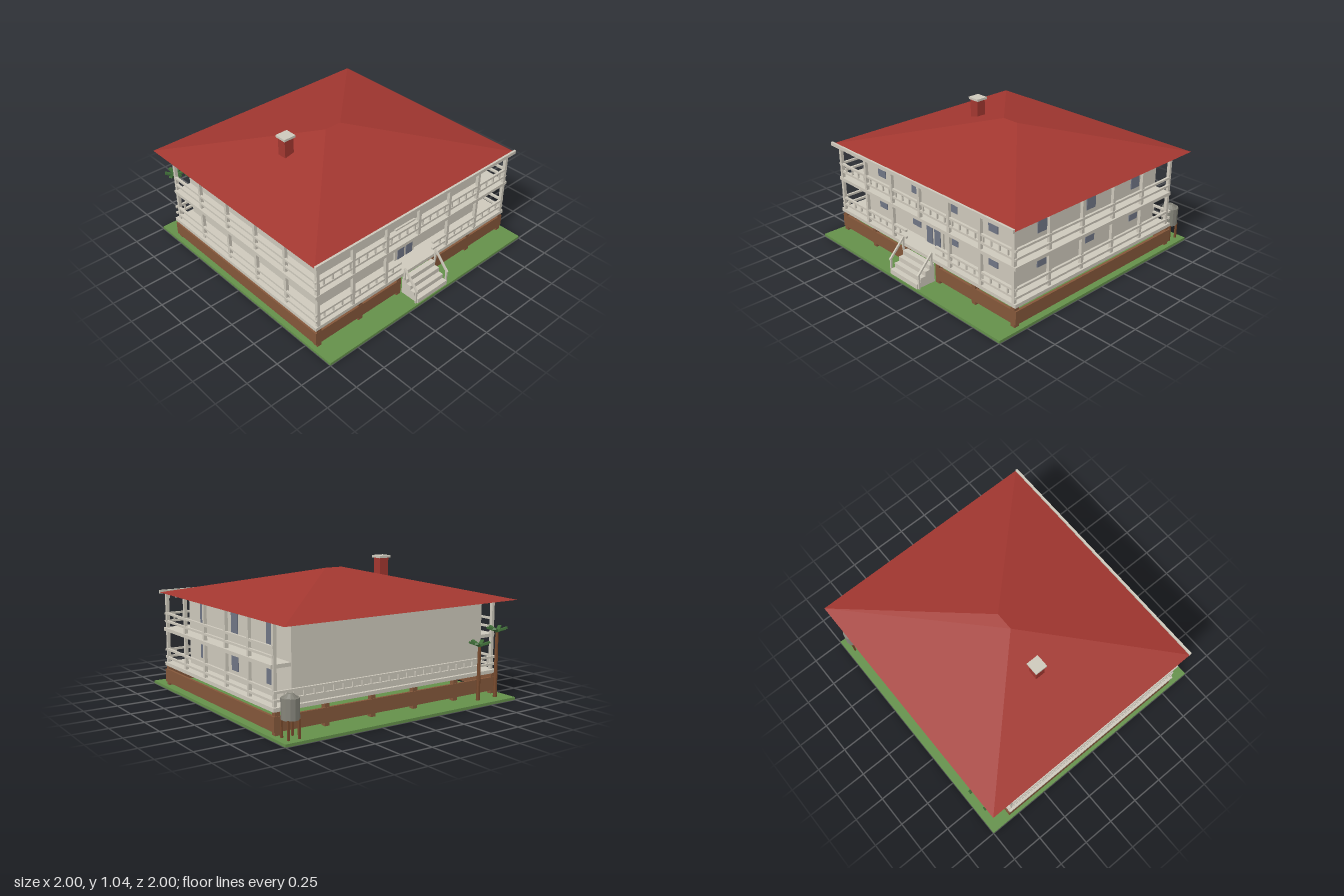
import * as THREE from 'three';

const mat = (name, color) => {
  const m = new THREE.MeshStandardMaterial({ color });
  m.name = name;
  return m;
};

export function createModel() {
  const house = new THREE.Group();
  house.name = 'verandaHouse';
  const cream = mat('cream', 0xcdc8bb);
  const red = mat('roofRed', 0xa23730);
  const green = mat('grass', 0x64904a);
  const brown = mat('timberBrown', 0x84573a);
  const trunkBrown = mat('trunkBrown', 0x774a2d);
  const leaf = mat('palmGreen', 0x3f6c38);
  const glass = mat('glass', 0x6f7585);
  const metal = mat('tankGrey', 0x85847a);

  const group = (name) => {
    const g = new THREE.Group();
    g.name = name;
    house.add(g);
    return g;
  };
  const add = (parent, name, geo, material, x = 0, y = 0, z = 0) => {
    const m = new THREE.Mesh(geo, material);
    m.name = name;
    m.position.set(x, y, z);
    parent.add(m);
    return m;
  };
  // Box given by its limits on each axis
  const box = (parent, name, material, x0, x1, y0, y1, z0, z1) =>
    add(parent, name, new THREE.BoxGeometry(x1 - x0, y1 - y0, z1 - z0), material,
      (x0 + x1) / 2, (y0 + y1) / 2, (z0 + z1) / 2);
  // Upright square post
  const post = (parent, name, material, x, z, w, y0, y1) =>
    box(parent, name, material, x - w / 2, x + w / 2, y0, y1, z - w / 2, z + w / 2);

  box(house, 'lawn', green, -1, 1, 0, 0.02, -1, 1);

  // Underfloor skirt and stumps
  const base = group('base');
  const stumpX = [-0.945, -0.565, -0.185, 0.185, 0.565, 0.945];
  for (const x of stumpX) for (const z of [0.81, -0.8]) post(base, 'stump', brown, x, z, 0.038, 0.02, 0.176);
  for (const s of [-1, 1]) {
    box(base, 'sideSkirt', brown, s * 0.965 - 0.01, s * 0.965 + 0.01, 0.045, 0.147, -0.815, 0.825);
    const [a, b] = s < 0 ? [-0.975, -0.165] : [0.165, 0.975];
    box(base, 'frontSkirt', brown, a, b, 0.045, 0.147, 0.81, 0.83);
  }
  box(base, 'backSkirt', brown, -0.975, 0.975, 0.045, 0.147, -0.825, -0.805);

  // Floors and walls
  box(house, 'lowerDeck', cream, -0.98, 0.975, 0.175, 0.202, -0.82, 0.835);
  box(house, 'walls', cream, -0.83, 0.825, 0.2, 0.75, -0.795, 0.685);
  const upperDeck = group('upperDeck');
  box(upperDeck, 'frontDeck', cream, -0.975, 0.975, 0.449, 0.475, 0.68, 0.835);
  for (const s of [-1, 1])
    box(upperDeck, 'sideDeck', cream, s * 0.898 - 0.077, s * 0.898 + 0.077, 0.449, 0.475, -0.79, 0.69);

  // Windows on front and both sides
  const windows = group('windows');
  for (const [y0, y1] of [[0.278, 0.455], [0.54, 0.722]]) {
    for (const x of [-0.615, -0.207, 0.207, 0.615])
      box(windows, 'frontWindow', glass, x - 0.045, x + 0.045, y0, y1, 0.684, 0.692);
    for (const z of [0.44, -0.05, -0.54]) {
      box(windows, 'leftWindow', glass, 0.824, 0.832, y0, y1, z - 0.046, z + 0.046);
      box(windows, 'rightWindow', glass, -0.837, -0.829, y0, y1, z - 0.046, z + 0.046);
    }
  }

  // Double front door
  const door = group('frontDoor');
  box(door, 'doorFrame', cream, -0.1, 0.1, 0.2, 0.487, 0.684, 0.7);
  for (const s of [-1, 1])
    box(door, 'doorPane', glass, s * 0.043 - 0.032, s * 0.043 + 0.032, 0.205, 0.455, 0.699, 0.706);

  // Veranda posts
  const posts = group('verandaPosts');
  for (let i = 0; i <= 6; i++)
    post(posts, 'frontPost', cream, -0.948 + i * 0.316, 0.82, 0.024, i === 3 ? 0.47 : 0.2, 0.75);
  for (const s of [-1, 1])
    for (let i = 1; i <= 5; i++) post(posts, 'sidePost', cream, s * 0.948, 0.82 - i * 0.3215, 0.024, 0.2, 0.75);

  // Veranda rails; front and back carry balusters
  const rails = group('verandaRails');
  const railX = (z, x0, x1, low, high) => {
    for (const y of [low, high]) box(rails, 'rail', cream, x0, x1, y - 0.008, y + 0.008, z - 0.009, z + 0.009);
    const n = Math.round((x1 - x0) / 0.079);
    for (let i = 1; i < n; i++) post(rails, 'baluster', cream, x0 + (x1 - x0) * i / n, z, 0.012, low, high);
  };
  railX(0.82, -0.97, -0.165, 0.245, 0.3);
  railX(0.82, 0.165, 0.97, 0.245, 0.3);
  railX(0.82, -0.97, 0.97, 0.525, 0.585);
  railX(-0.811, -0.97, 0.97, 0.245, 0.3);
  for (const s of [-1, 1])
    for (const y of [0.238, 0.303, 0.524, 0.587])
      box(rails, 'sideRail', cream, s * 0.955 - 0.009, s * 0.955 + 0.009, y - 0.008, y + 0.008, -0.79, 0.83);

  // Front fascia and toothed frieze
  const frieze = group('frieze');
  box(frieze, 'fascia', cream, -1, 0.99, 0.738, 0.765, 0.855, 0.872);
  box(frieze, 'frontBeam', cream, -0.96, 0.96, 0.733, 0.745, 0.81, 0.83);
  for (let i = 0; i < 26; i++) {
    const x = -0.94 + i * 0.0752;
    box(frieze, 'tooth', cream, x - 0.015, x + 0.015, 0.702, 0.738, 0.815, 0.827);
  }

  // Hipped roof: eave corners, ridge ends, flat underside
  const [A, B, C, D] = [[-1, 0.748, 0.86], [0.992, 0.748, 0.86], [0.992, 0.748, -0.985], [-1, 0.748, -0.985]];
  const [R, S] = [[-0.075, 0.966, -0.07], [0.068, 0.966, -0.07]];
  const faces = [A, B, S, A, S, R, B, C, S, C, D, R, C, R, S, D, A, R, A, D, C, A, C, B];
  const roofGeo = new THREE.BufferGeometry();
  roofGeo.setAttribute('position', new THREE.Float32BufferAttribute(faces.flat(), 3));
  roofGeo.computeVertexNormals();
  add(house, 'roof', roofGeo, red);

  const chimney = group('chimney');
  box(chimney, 'chimneyStack', red, -0.457, -0.377, 0.8, 1.022, -0.153, -0.077);
  box(chimney, 'chimneyCap', cream, -0.467, -0.365, 1.02, 1.038, -0.165, -0.067);

  // Stairs with sloping handrails
  const stairs = group('frontStairs');
  for (let i = 0; i < 4; i++)
    box(stairs, 'step', cream, -0.152, 0.152, 0.02, 0.057 + i * 0.036, 0.83, 0.992 - i * 0.04);
  for (const s of [-1, 1]) {
    post(stairs, 'lowerRailPost', cream, s * 0.16, 0.977, 0.013, 0.02, 0.135);
    post(stairs, 'upperRailPost', cream, s * 0.16, 0.86, 0.013, 0.16, 0.265);
    const rail = add(stairs, 'handrail', new THREE.BoxGeometry(0.014, 0.014, 0.19), cream, s * 0.16, 0.196, 0.92);
    rail.rotation.x = Math.atan2(0.14, 0.13);
  }

  // Rainwater tank on legs
  const tank = group('waterTank');
  tank.position.set(0.905, 0, -0.907);
  const facet = (g) => {
    const f = g.toNonIndexed();
    f.computeVertexNormals();
    return f;
  };
  add(tank, 'tankBody', facet(new THREE.CylinderGeometry(0.062, 0.062, 0.14, 12)), metal, 0, 0.215);
  add(tank, 'tankTop', facet(new THREE.CylinderGeometry(0.022, 0.05, 0.026, 12)), metal, 0, 0.298);
  for (const x of [-0.04, 0.04])
    for (const z of [-0.04, 0.04]) post(tank, 'tankLeg', trunkBrown, x, z, 0.014, 0.02, 0.15);

  // Palms: trunk and a star of raised fronds
  for (const [x, z, h] of [[-0.885, -0.905, 0.515], [-0.712, -0.905, 0.425]]) {
    const palm = group('palm');
    palm.position.set(x, 0, z);
    add(palm, 'trunk', facet(new THREE.CylinderGeometry(0.011, 0.015, h - 0.02, 8)), trunkBrown, 0, h / 2 + 0.01);
    for (let i = 0; i < 6; i++) {
      const arm = new THREE.BoxGeometry(0.08, 0.014, 0.026);
      arm.translate(0.04, 0, 0);
      arm.rotateZ(0.35);
      arm.rotateY(i * Math.PI / 3 + Math.PI / 6);
      add(palm, 'frond', arm, leaf, 0, h, 0);
    }
  }
  return house;
}
